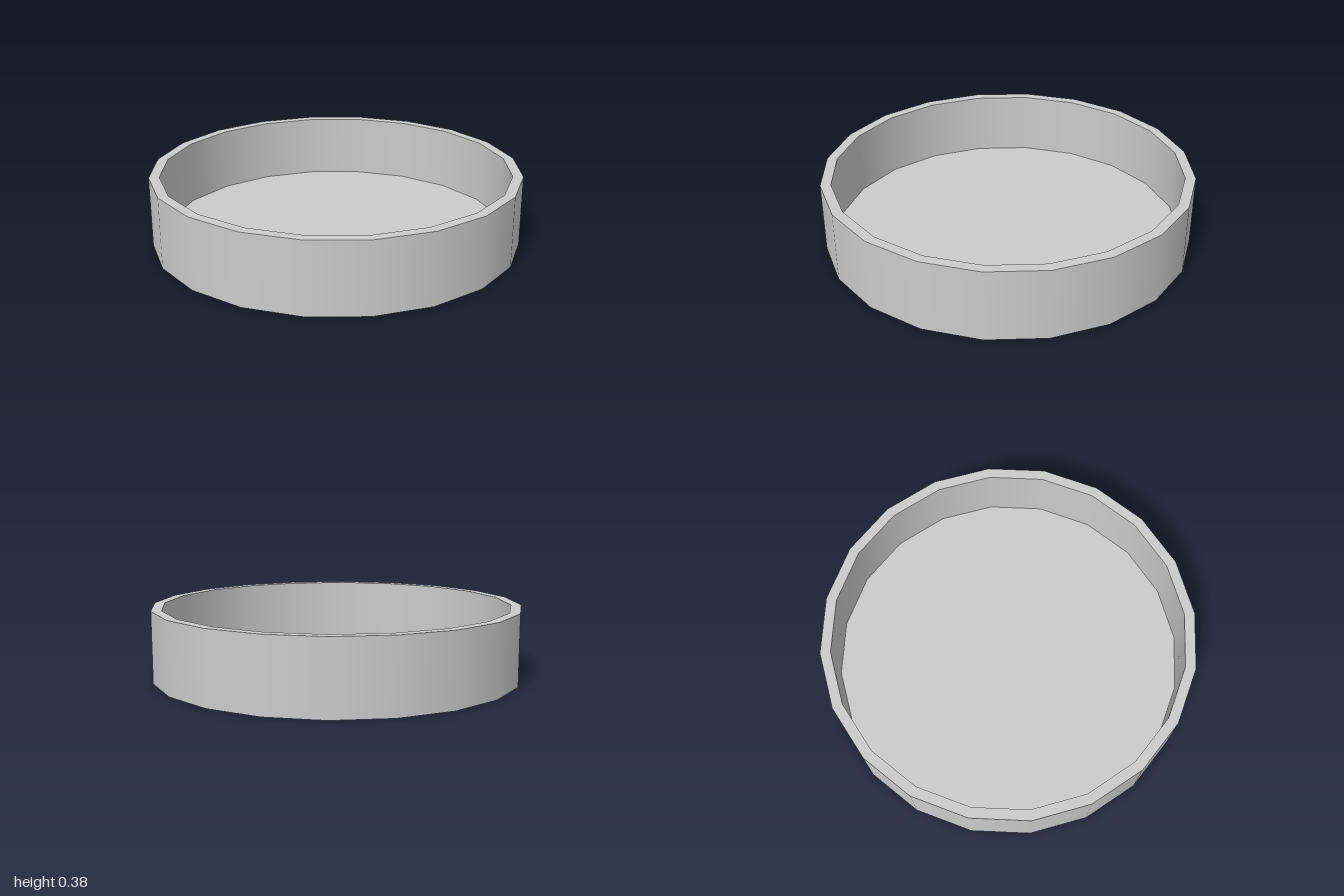
import * as THREE from 'three';

const SIDES = 20;
const OUTER = 1, INNER = 0.944, HEIGHT = 0.385, FLOOR = 0.036;

export function createModel() {
  const group = new THREE.Group();
  group.name = 'shallowRoundTray';
  const material = new THREE.MeshStandardMaterial({ color: 0xcccccc });

  const add = (name, geometry) => {
    const mesh = new THREE.Mesh(geometry, material);
    mesh.name = name;
    group.add(mesh);
    return mesh;
  };

  // One band of revolution per surface keeps the corners between them sharp
  const band = (name, r0, y0, r1, y1) =>
    add(name, new THREE.LatheGeometry([new THREE.Vector2(r0, y0), new THREE.Vector2(r1, y1)], SIDES));

  band('outerWall', OUTER, 0, OUTER, HEIGHT);
  band('rim', OUTER, HEIGHT, INNER, HEIGHT);
  band('innerWall', INNER, HEIGHT, INNER, FLOOR);

  // Inside floor faces up, underside faces down
  const floor = add('floor', new THREE.CircleGeometry(INNER, SIDES).rotateX(-Math.PI / 2));
  floor.position.y = FLOOR;
  add('underside', new THREE.CircleGeometry(OUTER, SIDES).rotateX(Math.PI / 2));

  return group;
}
